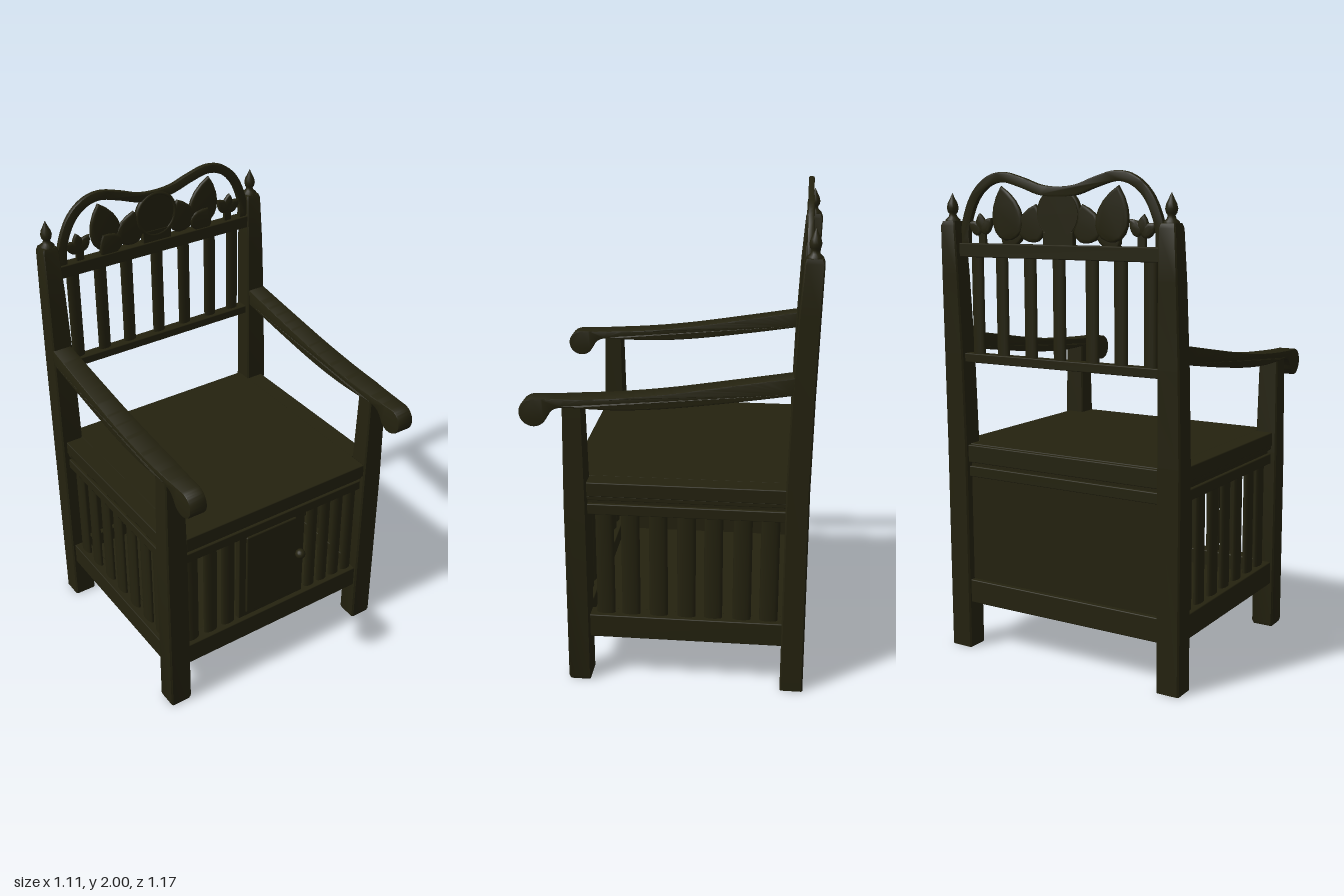
import * as THREE from 'three';
import { RoundedBoxGeometry } from 'three/addons/geometries/RoundedBoxGeometry.js';
import { toCreasedNormals } from 'three/addons/utils/BufferGeometryUtils.js';

const wood = new THREE.MeshStandardMaterial({ color: 0x24220f });
wood.name = 'dark wood';
const V2 = (x, y) => new THREE.Vector2(x, y);
const lerp = THREE.MathUtils.lerp;

function add(parent, name, geometry) {
  const mesh = new THREE.Mesh(geometry, wood);
  mesh.name = name;
  parent.add(mesh);
  return mesh;
}

// Softened box given by its limits on each axis
function block(parent, name, x0, x1, y0, y1, z0, z1, r = 0.004) {
  const g = new RoundedBoxGeometry(x1 - x0, y1 - y0, z1 - z0, 1, r);
  g.translate((x0 + x1) / 2, (y0 + y1) / 2, (z0 + z1) / 2);
  return add(parent, name, g);
}

// Upright slat with an oval section
function slat(parent, name, x, z, y0, y1, wx, wz) {
  const g = new THREE.CylinderGeometry(0.5, 0.5, y1 - y0, 14);
  g.scale(wx, 1, wz);
  g.translate(x, (y0 + y1) / 2, z);
  return add(parent, name, g);
}

// Move vertices by a rule
function warp(g, rule) {
  const p = g.attributes.position, v = new THREE.Vector3();
  for (let i = 0; i < p.count; i++) {
    rule(v.fromBufferAttribute(p, i));
    p.setXYZ(i, v.x, v.y, v.z);
  }
  return toCreasedNormals(g, 0.6);
}

// Post lofted through levels of [y, half width, z back, z front], corners chamfered
function post(parent, name, cx, levels) {
  const s = new THREE.Shape();
  const c = 0.87;
  [[-c, -1], [c, -1], [1, -c], [1, c], [c, 1], [-c, 1], [-1, c], [-1, -c]]
    .forEach(([a, b], i) => (i ? s.lineTo(a, b) : s.moveTo(a, b)));
  const n = levels.length - 1;
  const g = new THREE.ExtrudeGeometry(s, { depth: n, steps: n, bevelEnabled: false });
  g.rotateX(-Math.PI / 2);
  return add(parent, name, warp(g, (v) => {
    const [y, hw, z0, z1] = levels[Math.round(v.y)];
    v.set(cx + v.x * hw, y, lerp(z0, z1, (v.z + 1) / 2));
  }));
}

// Armrest side profile (z, y) ending in a scroll
function armrest(parent, side) {
  const s = new THREE.Shape();
  s.moveTo(-0.5, 1.36);
  s.splineThru([V2(-0.25, 1.318), V2(0, 1.278), V2(0.2, 1.255), V2(0.4, 1.242), V2(0.53, 1.238)]);
  s.absarc(0.53, 1.181, 0.057, Math.PI / 2, -Math.PI * 0.85, true);
  s.splineThru([V2(0.465, 1.18), V2(0.44, 1.2), V2(0.39, 1.207), V2(0.2, 1.205), V2(0, 1.218), V2(-0.25, 1.25), V2(-0.5, 1.288)]);
  const g = new THREE.ExtrudeGeometry(s, {
    depth: 1.8, bevelThickness: 0.1, bevelSize: 0.006, bevelOffset: -0.006, bevelSegments: 2, curveSegments: 16,
  });
  g.translate(0, 0, -0.9);
  g.rotateY(-Math.PI / 2);
  add(parent, 'armrest', warp(g, (v) => {
    const hw = v.z > 0.35 ? lerp(0.048, 0.038, Math.min((v.z - 0.35) / 0.22, 1))
      : lerp(0.042, 0.049, Math.min((v.z + 0.5) / 0.6, 1));
    v.x = side * 0.508 + v.x * hw;
  }));
}

// Flat leaf, tip up, with base at the given point
function leaf(parent, x, y, w, h, tilt, z = -0.53) {
  const s = new THREE.Shape();
  s.moveTo(0, 0);
  s.bezierCurveTo(w * 0.75, 0, w * 0.8, h * 0.6, 0, h);
  s.bezierCurveTo(-w * 0.8, h * 0.6, -w * 0.75, 0, 0, 0);
  const g = new THREE.ExtrudeGeometry(s, {
    depth: 0.006, bevelThickness: 0.007, bevelSize: 0.012, bevelOffset: -0.012, bevelSegments: 3, curveSegments: 8,
  });
  g.rotateZ(tilt);
  g.translate(x, y, z);
  add(parent, 'carved leaf', toCreasedNormals(g, 0.7));
}

export function createModel() {
  const chair = new THREE.Group();
  chair.name = 'storage armchair';

  // Legs, arms, finials and sides, mirrored
  for (const side of [-1, 1]) {
    const cx = side * 0.505;
    post(chair, 'frontPost', cx, [[0, 0.045, 0.33, 0.415], [0.015, 0.05, 0.325, 0.42], [0.8, 0.049, 0.327, 0.419], [1.215, 0.042, 0.335, 0.414]]);
    post(chair, 'backPost', cx, [
      [0, 0.05, -0.56, -0.465], [0.9, 0.05, -0.56, -0.467], [1.27, 0.047, -0.567, -0.477],
      [1.6, 0.041, -0.577, -0.493], [1.79, 0.036, -0.583, -0.508], [1.808, 0.03, -0.576, -0.514],
    ]);
    armrest(chair, side);

    const finial = add(chair, 'finial', new THREE.LatheGeometry([
      V2(0.03, 0), V2(0.03, 0.012), V2(0.018, 0.022), V2(0.014, 0.034), V2(0.02, 0.042),
      V2(0.024, 0.058), V2(0.02, 0.076), V2(0.01, 0.096), V2(0, 0.118),
    ], 16));
    finial.position.set(cx, 1.802, -0.545);

    const x = (a, b) => (side > 0 ? [a, b] : [-b, -a]);
    block(chair, 'sideLowerRail', ...x(0.47, 0.54), 0.2, 0.3, -0.475, 0.335);
    block(chair, 'sideUpperRail', ...x(0.48, 0.53), 0.75, 0.795, -0.475, 0.335);
    block(chair, 'sideGroove', ...x(0.47, 0.515), 0.79, 0.815, -0.475, 0.335);
    block(chair, 'sideMoulding', ...x(0.47, 0.53), 0.812, 0.832, -0.475, 0.335);
    for (const z of [0.262, 0.157, 0.043, -0.072, -0.182, -0.3, -0.41])
      slat(chair, 'sideSlat', cx, z, 0.29, 0.76, 0.03, 0.076);
  }

  // Seat lid, notched around the posts
  block(chair, 'seat', -0.458, 0.458, 0.83, 0.89, -0.53, 0.412);
  block(chair, 'seatEdges', -0.535, 0.535, 0.83, 0.8895, -0.47, 0.33);

  // Front frame
  block(chair, 'frontLowerRail', -0.46, 0.46, 0.2, 0.3, 0.335, 0.405);
  block(chair, 'frontUpperRail', -0.46, 0.46, 0.75, 0.795, 0.345, 0.395);
  block(chair, 'frontGroove', -0.46, 0.46, 0.79, 0.815, 0.34, 0.382);
  block(chair, 'frontMoulding', -0.46, 0.46, 0.812, 0.832, 0.34, 0.4);
  for (const x of [-0.415, -0.32, -0.23, 0.215, 0.285, 0.355, 0.425])
    slat(chair, 'frontSlat', x, 0.37, 0.29, 0.76, x < 0 ? 0.066 : 0.055, 0.03);

  // Door with raised panel and knob
  block(chair, 'doorFrame', -0.18, 0.165, 0.29, 0.76, 0.355, 0.383);
  block(chair, 'doorPanel', -0.145, 0.115, 0.32, 0.74, 0.375, 0.392, 0.006);
  const knob = add(chair, 'doorKnob', new THREE.SphereGeometry(0.023, 16, 10));
  knob.position.set(0.138, 0.53, 0.397);

  // Solid back and floor of the storage box
  block(chair, 'backPanel', -0.46, 0.46, 0.28, 0.84, -0.525, -0.505);
  block(chair, 'backLowerRail', -0.46, 0.46, 0.2, 0.3, -0.548, -0.48);
  block(chair, 'backUpperRail', -0.46, 0.46, 0.75, 0.795, -0.54, -0.49);
  block(chair, 'backSeatRail', -0.46, 0.46, 0.812, 0.886, -0.545, -0.49);
  block(chair, 'boxFloor', -0.48, 0.48, 0.212, 0.232, -0.5, 0.36);

  // Backrest
  block(chair, 'backrestLowerRail', -0.465, 0.465, 1.235, 1.272, -0.548, -0.498);
  block(chair, 'backrestUpperRail', -0.475, 0.475, 1.665, 1.72, -0.556, -0.505);
  for (const x of [-0.41, -0.28, -0.152, 0, 0.137, 0.275, 0.397])
    slat(chair, 'backrestSlat', x, -0.527, 1.26, 1.675, 0.058, 0.026);

  // Crest: curved band offset on both sides of a centre line
  const half = [[-0.452, 1.715], [-0.447, 1.8], [-0.405, 1.9], [-0.34, 1.961], [-0.262, 1.98], [-0.17, 1.958], [-0.085, 1.93]];
  const line = new THREE.SplineCurve([
    ...half.map(([x, y]) => V2(x, y)), V2(0, 1.922), ...half.map(([x, y]) => V2(-x, y)).reverse(),
  ]);
  const outer = [], inner = [];
  for (let i = 0; i <= 64; i++) {
    const p = line.getPoint(i / 64), t = line.getTangent(i / 64);
    outer.push(V2(p.x - t.y * 0.02, p.y + t.x * 0.02));
    inner.push(V2(p.x + t.y * 0.02, p.y - t.x * 0.02));
  }
  const band = new THREE.ExtrudeGeometry(new THREE.Shape([...outer, ...inner.reverse()]), {
    depth: 0.014, bevelThickness: 0.005, bevelSize: 0.005, bevelOffset: -0.005, bevelSegments: 2,
  });
  band.translate(0, 0, -0.533);
  add(chair, 'crestBand', toCreasedNormals(band, 0.6));

  // Crest: centre medallion
  const disc = add(chair, 'crestMedallion', new THREE.CylinderGeometry(0.092, 0.092, 0.022, 40).rotateX(Math.PI / 2));
  disc.position.set(0, 1.838, -0.525);
  const rim = add(chair, 'medallionRim', new THREE.TorusGeometry(0.093, 0.01, 10, 40).scale(1, 1, 1.2));
  rim.position.set(0, 1.838, -0.522);
  block(chair, 'medallionFoot', -0.07, 0.07, 1.71, 1.77, -0.536, -0.512);

  // Crest: carved leaves on each side
  for (const side of [-1, 1]) {
    leaf(chair, side * 0.225, 1.735, 0.125, 0.215, side * -0.22);
    leaf(chair, side * 0.145, 1.73, 0.11, 0.15, side * 0.25, -0.526);
    leaf(chair, side * 0.2, 1.715, 0.1, 0.11, side * -0.6, -0.522);
    for (const a of [-0.85, 0, 0.85]) leaf(chair, side * 0.37, 1.762, 0.045, 0.078, a - side * 0.15);
    block(chair, 'leafStem', side * 0.37 - 0.018, side * 0.37 + 0.018, 1.71, 1.785, -0.532, -0.518);
  }
  return chair;
}
